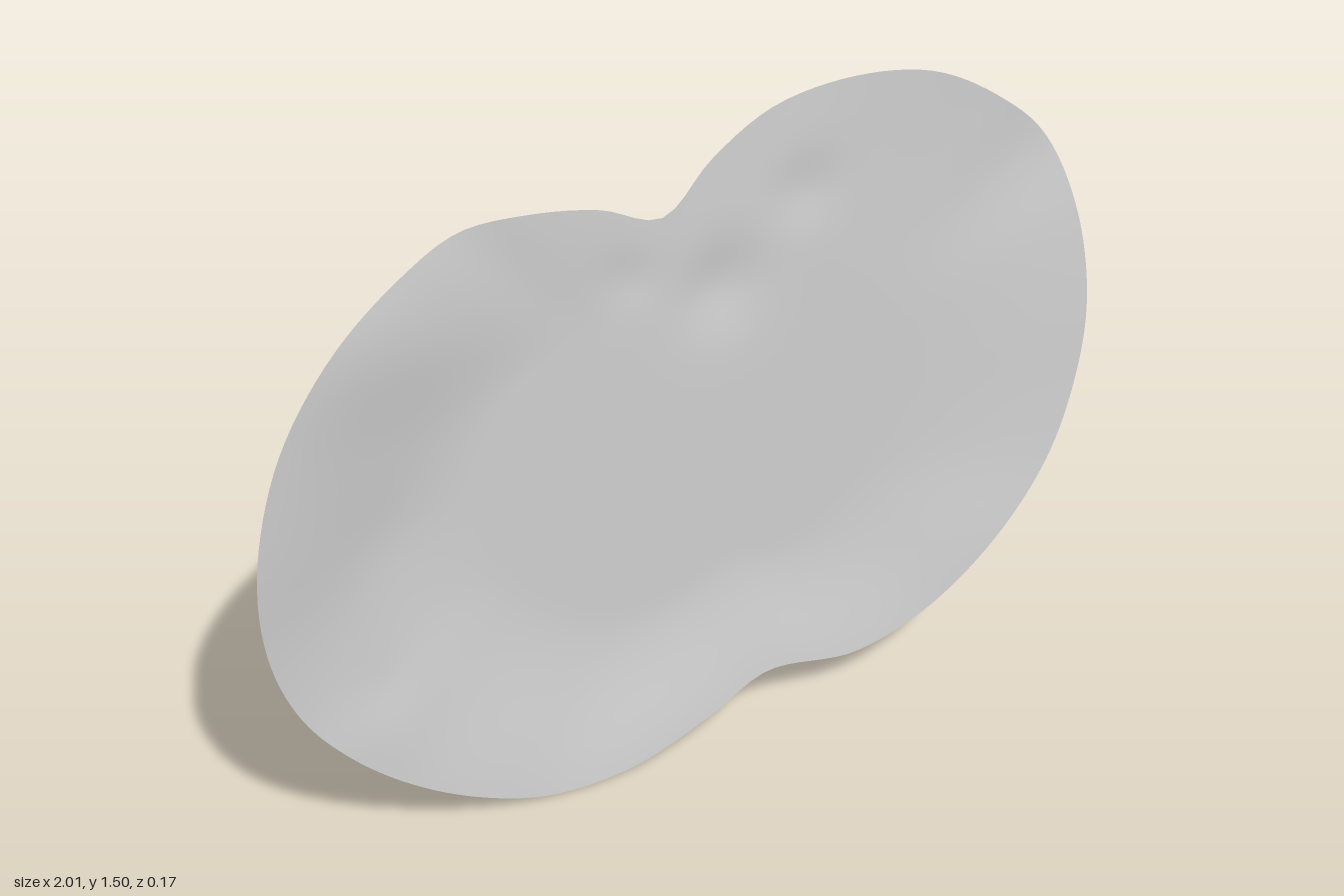
import * as THREE from 'three';

// Rim of the sheet, counter-clockwise from the right: x, y, z
const RIM = [
  [1, 0.82, -0.03], [0.97, 1.05, -0.055], [0.89, 1.24, -0.085], [0.76, 1.36, -0.08], [0.58, 1.46, -0.073],
  [0.38, 1.49, -0.07], [0.2, 1.46, -0.075], [0.06, 1.38, -0.07], [-0.055, 1.28, -0.062], [-0.2, 1.335, -0.055],
  [-0.36, 1.365, -0.047], [-0.5, 1.365, -0.042], [-0.63, 1.32, -0.01], [-0.8, 1.22, 0.045], [-0.93, 1.05, 0.072],
  [-1, 0.82, 0.085], [-0.995, 0.6, 0.075], [-0.94, 0.43, 0.07], [-0.85, 0.3, 0.07], [-0.72, 0.17, 0.06],
  [-0.57, 0.07, 0.055], [-0.4, 0.003, 0.05], [-0.2, 0.003, 0.05], [0, 0.065, 0.04], [0.15, 0.13, 0.03],
  [0.38, 0.105, 0.033], [0.58, 0.16, 0.027], [0.76, 0.29, 0.02], [0.9, 0.45, 0], [0.97, 0.62, -0.015],
];

// Soft dents: x, y, radius, depth
const DENTS = [
  [0.07, 1.1, 0.1, -0.016], [0.27, 1.28, 0.08, -0.014], [-0.13, 1.18, 0.07, -0.01],
  [-0.76, 0.4, 0.07, -0.012], [-0.74, 0.75, 0.12, -0.008],
];

// Flat, slightly reclined middle with the dents added
function middleZ(x, y) {
  return -0.004 - 0.042 * y;
}
function dentZ(x, y) {
  return DENTS.reduce((s, [cx, cy, r, d]) => s + d * Math.exp(-((x - cx) ** 2 + (y - cy) ** 2) / (r * r)), 0);
}

// Rings shrink from the rim to the centre; the outer band bends towards the rim
function sheetGeometry(segments = 180, rings = 40) {
  const curve = new THREE.CatmullRomCurve3(RIM.map((p) => new THREE.Vector3(...p)), true, 'centripetal');
  const rim = curve.getSpacedPoints(segments).slice(0, segments);
  const cx = 0, cy = 0.75;
  const positions = [cx, cy, middleZ(cx, cy)];
  const index = [];
  for (let i = 1; i <= rings; i++) {
    const t = i / rings;
    const bend = THREE.MathUtils.smoothstep(t, 0.5, 1.12) / THREE.MathUtils.smoothstep(1, 0.5, 1.12);
    for (let j = 0; j < segments; j++) {
      const p = rim[j];
      const x = cx + (p.x - cx) * t;
      const y = cy + (p.y - cy) * t;
      const z = middleZ(x, y) + (p.z - middleZ(p.x, p.y)) * bend + dentZ(x, y) * (1 - bend);
      positions.push(x, y, z);
      const k = (j + 1) % segments;
      const a = 1 + (i - 1) * segments;
      if (i === 1) {
        index.push(0, a + j, a + k);
      } else {
        const b = a - segments;
        index.push(b + j, a + j, a + k, b + j, a + k, b + k);
      }
    }
  }
  const geometry = new THREE.BufferGeometry();
  geometry.setAttribute('position', new THREE.Float32BufferAttribute(positions, 3));
  geometry.setIndex(index);
  geometry.computeVertexNormals();
  return geometry;
}

export function createModel() {
  const group = new THREE.Group();
  group.name = 'model';
  const material = new THREE.MeshStandardMaterial({ color: 0xcccccc, side: THREE.DoubleSide });
  const sheet = new THREE.Mesh(sheetGeometry(), material);
  sheet.name = 'warpedSheet';
  group.add(sheet);
  return group;
}
